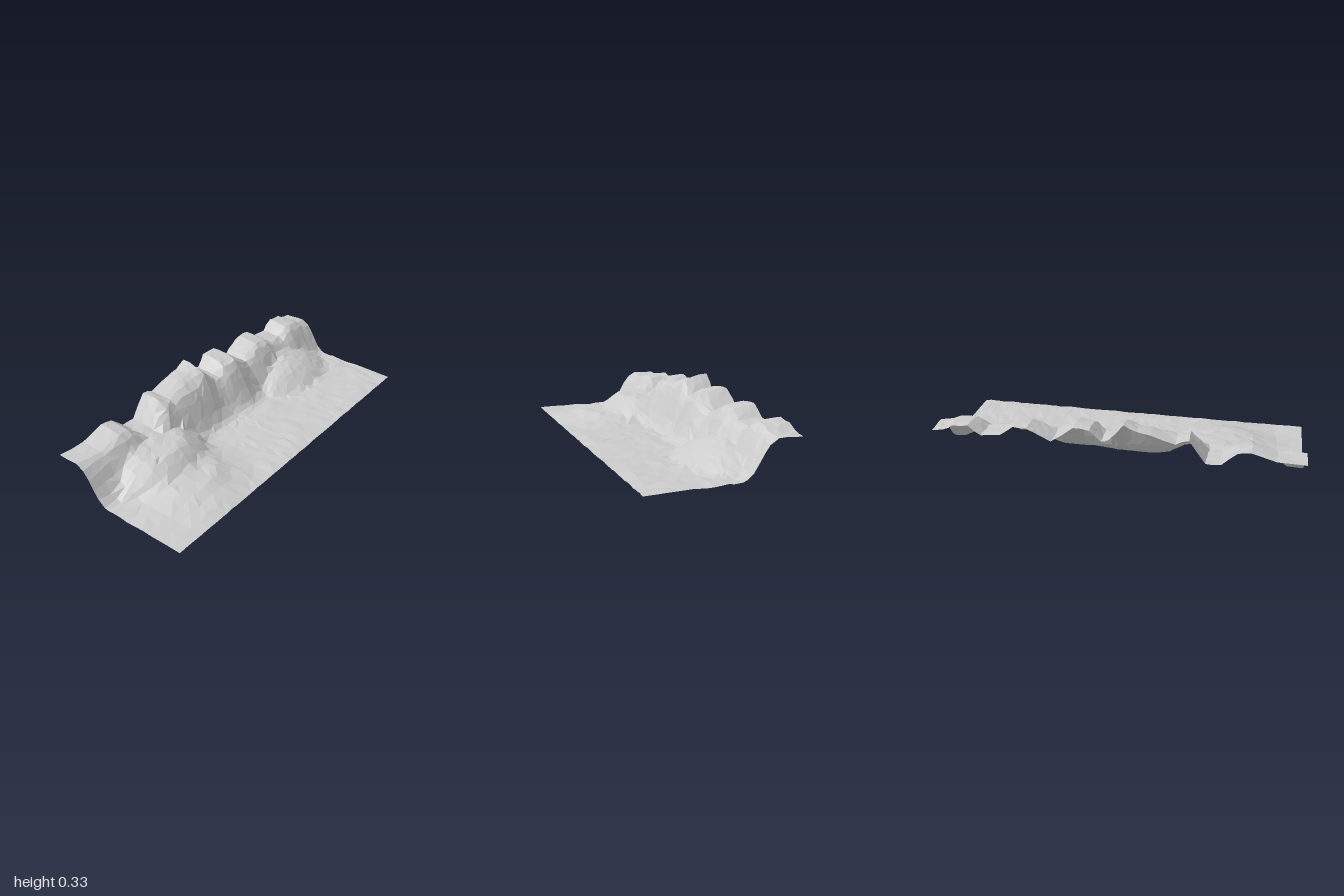
import * as THREE from 'three';

// Piecewise-linear lookup through [position, value] pairs
function sample(pairs, x) {
  if (x <= pairs[0][0]) return pairs[0][1];
  for (let i = 1; i < pairs.length; i++) {
    const [x0, y0] = pairs[i - 1], [x1, y1] = pairs[i];
    if (x <= x1) return y0 + (y1 - y0) * (x - x0) / (x1 - x0);
  }
  return pairs[pairs.length - 1][1];
}

// Seeded noise in -1..1
let seed = 7;
function noise() {
  seed = (seed * 16807) % 2147483647;
  return seed / 1073741823.5 - 1;
}

// Crest height along the cliff
const CREST = [[-1, .195], [-.85, .195], [-.72, .235], [-.65, .22], [-.57, .148], [-.49, .143],
  [-.4, .275], [-.33, .245], [-.2, .283], [-.13, .295], [-.06, .324], [.02, .23], [.06, .215],
  [.12, .283], [.21, .285], [.33, .188], [.4, .23], [.46, .26], [.54, .255], [.61, .203],
  [.72, .188], [.79, .24], [.88, .23], [.93, .205], [1, .195]];
// Where the cliff starts to rise
const FOOT = [[-1, -.09], [-.7, -.085], [-.3, -.07], [0, -.085], [.2, -.06], [.4, -.08], [1, -.09]];
// Cliff face, by distance behind the foot
const FACE = [[0, 0], [.03, .07], [.06, .26], [.1, .6], [.13, .84], [.165, 1]];

// Rubble mounds: centre, radii and height by relative radius
const MOUNDS = [
  { x: -.57, z: -.17, rx: .34, rz: .29, h: [[0, .143], [.5, .134], [.6, .118], [.86, .05], [1, 0]] },
  { x: -.57, z: .05, rx: .32, rz: .3, h: [[0, .056], [.53, .05], [.83, .015], [1.2, 0]] },
  { x: .63, z: -.17, rx: .34, rz: .24, h: [[0, .14], [.35, .112], [.6, .08], [.8, .045], [1, 0]] },
];

function height(x, z) {
  const crest = sample(CREST, x);
  const back = THREE.MathUtils.clamp((-z - .2) / .13, 0, 1);
  const edge = Math.min(crest, .2 + (crest - .2) * .6);
  const cliff = sample(FACE, sample(FOOT, x) - z) * (edge + (crest - edge) * back);
  const mounds = MOUNDS.map(m => sample(m.h, Math.hypot((x - m.x) / m.rx, (z - m.z) / m.rz)));
  // Low rolling of the flat ground
  const roll = .003 * Math.sin(x * 9 + z * 14) * Math.sin(z * 11 + 1);
  return Math.max(cliff, ...mounds) + roll;
}

export function createModel() {
  const group = new THREE.Group();
  // Columns follow the crest points, with one between each pair
  const columns = CREST.flatMap(([x], i) => i ? [(x + CREST[i - 1][0]) / 2, x] : [x]);
  const rows = [-.397, -.355, -.31, -.265, -.23, -.2, -.17, -.14, -.11, -.08, -.05, -.02,
    .02, .06, .1, .15, .21, .27, .335, .4];
  const end = columns.length - 1, last = rows.length - 1, stride = columns.length;
  const positions = [], index = [];

  // Irregular grid draped over the height rule
  rows.forEach((row, j) => columns.forEach((column, i) => {
    const x = column + (i === 0 || i === end ? 0 : noise() * (j < 4 ? .003 : .01));
    const z = row + (j === last ? 0 : noise() * (j === 0 ? .005 : .01));
    const y = Math.max(.001, height(x, z) + .007 + noise() * .003);
    positions.push(x, j === last ? Math.abs(noise()) * .006 : y, z);
    if (i === end || j === last) return;
    // Split each cell along a varying diagonal
    const a = j * stride + i, b = a + 1, c = a + stride, d = c + 1;
    index.push(...(noise() > 0 ? [a, c, b, b, c, d] : [a, c, d, a, d, b]));
  }));

  const geometry = new THREE.BufferGeometry();
  geometry.setAttribute('position', new THREE.Float32BufferAttribute(positions, 3));
  geometry.setIndex(index);
  geometry.computeVertexNormals();

  const terrain = new THREE.Mesh(geometry, new THREE.MeshStandardMaterial({
    color: 0xcccccc, flatShading: true, side: THREE.DoubleSide,
  }));
  terrain.name = 'cliffTerrain';
  group.add(terrain);
  return group;
}
